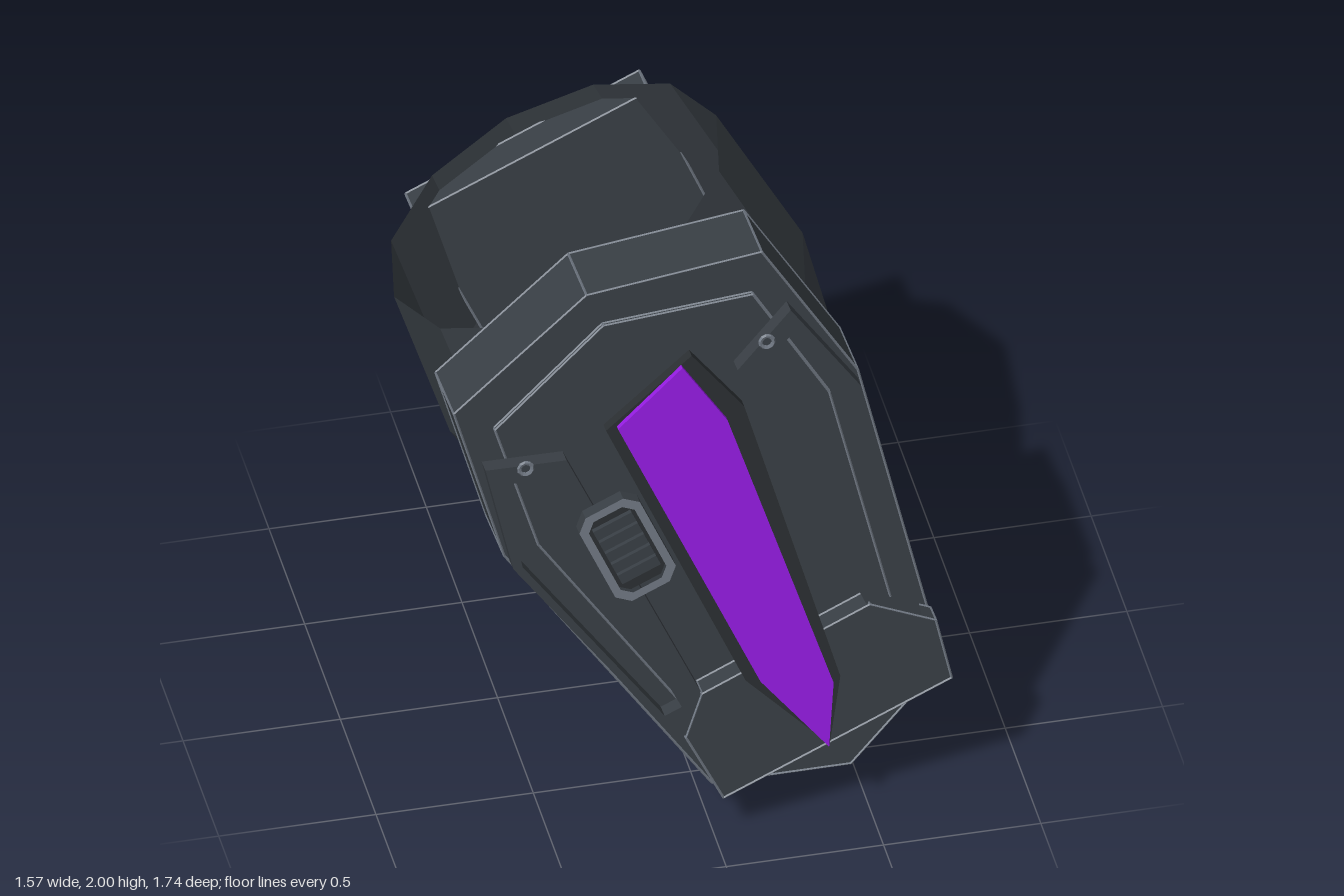
import * as THREE from 'three';

const mat = (name, color, extra = {}) => {
  const m = new THREE.MeshStandardMaterial({ color, ...extra });
  m.name = name;
  return m;
};

export function createModel() {
  const steel = mat('steel', 0x393f45, { flatShading: true });
  const shell = mat('shell steel', 0x393f45, { flatShading: true, side: THREE.DoubleSide });
  const dark = mat('dark steel', 0x2b2f32, { flatShading: true });
  const trim = mat('edge grey', 0x707883, { flatShading: true });
  const purple = mat('purple', 0x961ce4, { flatShading: true });

  // The arm leans sideways and slightly backwards; every part shares this frame
  const root = new THREE.Group();
  const lean = new THREE.Group();
  lean.name = 'bracer';
  lean.rotation.x = -0.11;
  lean.position.y = -0.075;
  const arm = new THREE.Group();
  arm.name = 'arm';
  arm.rotation.z = 0.412;
  arm.position.set(0.426, 0.186, 0);
  lean.add(arm);
  root.add(lean);

  const vec = (pts) => pts.map(([x, y]) => new THREE.Vector2(x, y));
  const flip = (pts) => pts.map(([x, y]) => [-x, y]);
  // Full outline from its right half, listed top to bottom
  const mirrored = (half) => [...half, ...flip(half.filter(([x]) => x > 0).reverse())];

  // Flat plate between two depths, with optional hole
  function plate(name, pts, back, front, material, hole) {
    const shape = new THREE.Shape(vec(pts));
    if (hole) shape.holes.push(new THREE.Path(vec(hole)));
    const geo = new THREE.ExtrudeGeometry(shape, { depth: front - back, bevelEnabled: false });
    geo.translate(0, 0, back);
    const mesh = new THREE.Mesh(geo, material);
    mesh.name = name;
    arm.add(mesh);
  }

  // Hairline worn edges along the borders and corners of a plate
  function wornEdges(name, pts, back, front) {
    const group = new THREE.Group();
    group.name = name;
    const up = new THREE.Vector3(0, 1, 0);
    const line = (a, b) => {
      const dir = b.clone().sub(a);
      const rod = new THREE.Mesh(new THREE.CylinderGeometry(0.004, 0.004, dir.length(), 4), trim);
      rod.position.copy(a).add(b).multiplyScalar(0.5);
      rod.quaternion.setFromUnitVectors(up, dir.normalize());
      group.add(rod);
    };
    pts.forEach(([x, y], i) => {
      const [nx, ny] = pts[(i + 1) % pts.length];
      for (const z of [back, front]) {
        line(new THREE.Vector3(x, y, z), new THREE.Vector3(nx, ny, z));
      }
      line(new THREE.Vector3(x, y, back), new THREE.Vector3(x, y, front));
    });
    arm.add(group);
  }

  // Forearm sleeve: an open tube with a floor at the wrist end
  const profile = [[0, 0.122], [0.445, 0.122], [0.627, 1.17], [0.573, 1.705]];
  const sleeve = new THREE.Mesh(new THREE.LatheGeometry(vec(profile), 12, 0.052), shell);
  sleeve.name = 'forearmSleeve';
  sleeve.position.set(0.006, 0, -0.1);
  arm.add(sleeve);

  // Rear guard
  const rear = mirrored([[0.41, 1.64], [0.387, 0.147], [0, -0.04]]);
  plate('rearGuard', rear, -0.66, -0.53, steel);
  wornEdges('rearGuardEdges', rear, -0.66, -0.53);

  // Thick front guard and the thin panel on it
  const guard = mirrored([[0, 1.9], [0.54, 1.74], [0.62, 1.19], [0.405, 0.09], [0, -0.085]]);
  plate('frontGuard', guard, 0.475, 0.734, steel);
  wornEdges('frontGuardEdges', guard, 0.475, 0.734);
  const panel = mirrored([[0, 1.785], [0.452, 1.63], [0.51, 1.18], [0.31, 0.13]]);
  plate('frontPanel', panel, 0.73, 0.755, steel);
  wornEdges('frontPanelEdges', panel, 0.74, 0.755);

  // Raised side rails: open frames running under the wrist block, each with a pin
  const rail = [[0.30, 1.465], [0.535, 1.57], [0.61, 1.2], [0.42, 0.33], [0.29, 0.4]];
  const railHole = [[0.40, 1.445], [0.515, 1.495], [0.582, 1.19], [0.425, 0.46], [0.365, 0.46]];
  for (const [side, fn] of [['left', (p) => p], ['right', flip]]) {
    plate(side + 'Rail', fn(rail), 0.785, 0.842, steel, fn(railHole));
    const pin = new THREE.Mesh(new THREE.TorusGeometry(0.021, 0.007, 5, 10), trim);
    pin.name = side + 'Pin';
    pin.position.set(side === 'left' ? 0.423 : -0.423, 1.51, 0.845);
    arm.add(pin);
  }

  // Wrist block
  const wrist = [[0.3, 0.48], [0.455, 0.315], [0.41, 0.1], [-0.39, 0.1], [-0.4, 0.36], [-0.29, 0.476]];
  plate('wristBlock', wrist, 0.775, 0.855, steel);
  wornEdges('wristBlockEdges', wrist, 0.775, 0.855);

  // Purple blade inlay on its dark mount
  plate('bladeMount', [[-0.146, 1.52], [0.2, 1.618], [0.265, 1.362], [0.113, 0.315],
    [-0.02, 0.11], [-0.15, 0.463]], 0.845, 0.883, dark);
  plate('bladeInlay', [[-0.11, 1.521], [0.158, 1.611], [0.2, 1.362], [0.086, 0.322],
    [-0.024, 0.12], [-0.11, 0.451]], 0.89, 0.91, purple);

  // Vent button: chamfered frame, dark bed, slats
  const octagon = (w, h, c) => mirrored([[w - c, h], [w, h - c], [w, c - h], [w - c, -h]])
    .map(([x, y]) => [x - 0.265, y + 1.145]);
  plate('ventFrame', octagon(0.106, 0.175, 0.04), 0.915, 0.962, [trim, steel],
    octagon(0.08, 0.149, 0.03));
  plate('ventBed', octagon(0.083, 0.152, 0.03), 0.885, 0.935, dark);
  for (let i = 0; i < 5; i++) {
    const slat = new THREE.Mesh(new THREE.BoxGeometry(0.135, 0.036, 0.02), steel);
    slat.name = 'ventSlat';
    slat.position.set(-0.265, 1.145 + (i - 2) * 0.046, 0.943);
    arm.add(slat);
  }

  return root;
}
